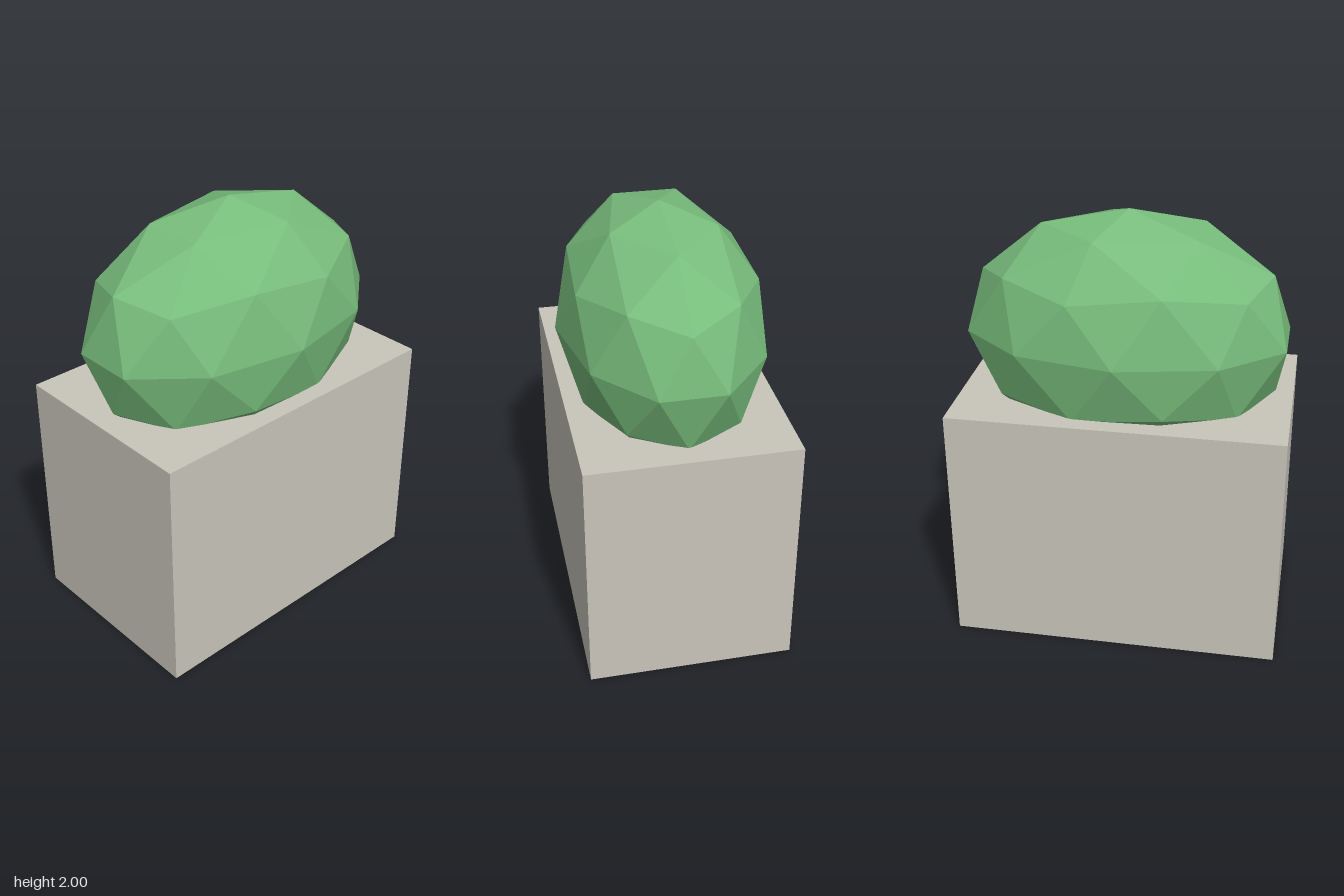
import * as THREE from 'three';

export function createModel() {
  const model = new THREE.Group();
  const stone = new THREE.MeshStandardMaterial({ color: 0xc9c5bb });
  stone.name = 'warm grey stone';
  const leaf = new THREE.MeshStandardMaterial({ color: 0x78bd7c, flatShading: true });
  leaf.name = 'leaf green';

  // Planter block
  const planterHeight = 1.145;
  const planter = new THREE.Mesh(new THREE.BoxGeometry(1.522, planterHeight, 0.948), stone);
  planter.name = 'planter';
  planter.position.y = planterHeight / 2;
  model.add(planter);

  // Faceted bush: icosphere turned to stand on a corner, then stretched
  const phi = (1 + Math.sqrt(5)) / 2;
  const bushGeometry = new THREE.IcosahedronGeometry(1, 1);
  bushGeometry.rotateZ(-Math.atan(1 / phi));
  bushGeometry.scale(0.761, 0.57, 0.474);
  bushGeometry.computeVertexNormals();
  const bush = new THREE.Mesh(bushGeometry, leaf);
  bush.name = 'bush';
  bush.position.y = 1.43;
  model.add(bush);

  return model;
}
